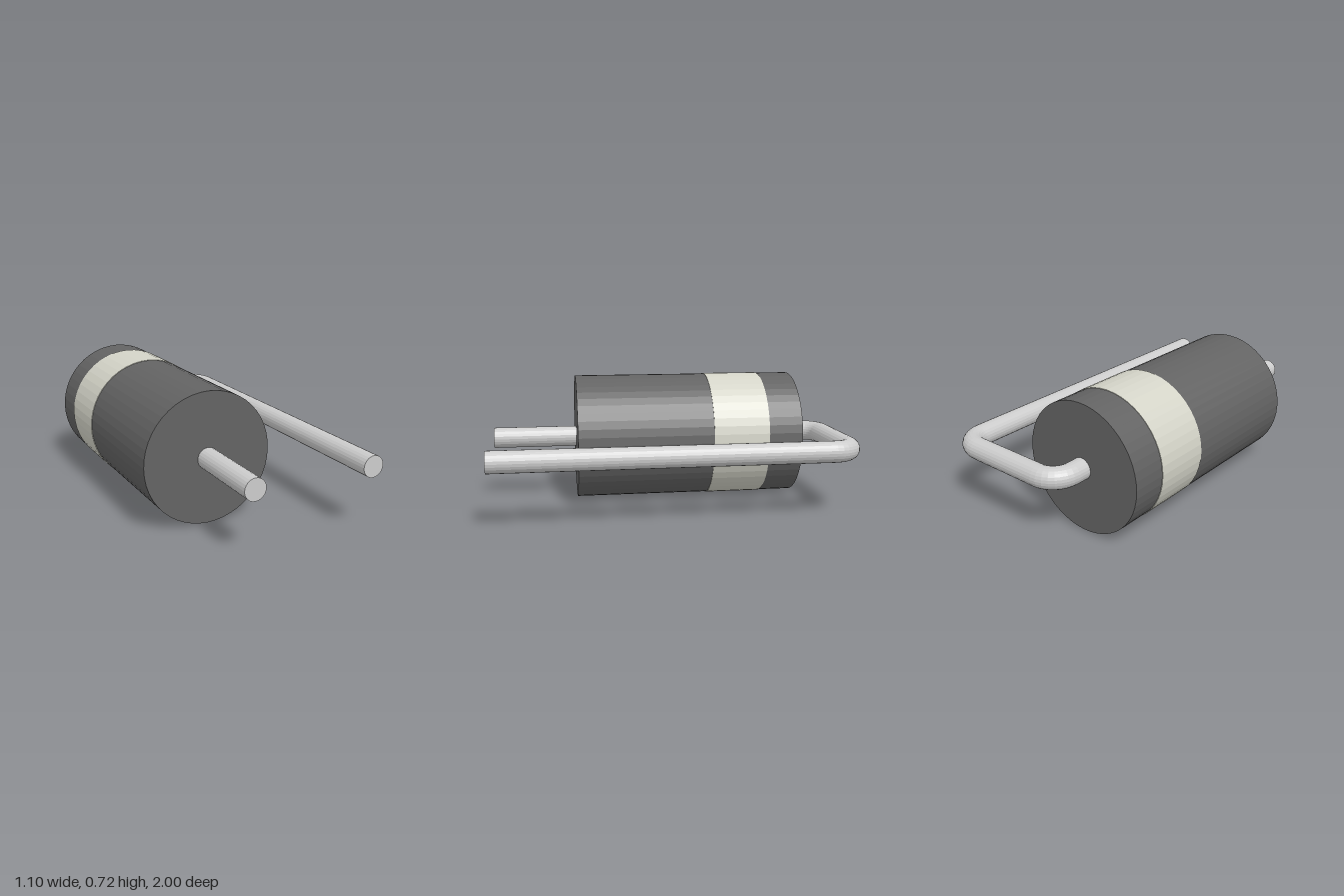
import * as THREE from 'three';

const X = -0.193, Y = 0.36;          // body axis
const X2 = 0.487;                    // returning wire axis
const WIRE = 0.059, BEND = 0.116;    // wire radius and bend radius
const BACK = -1 + WIRE;              // z of the cross run
const BEND_Z = BACK + BEND;

function material(color) {
  return new THREE.MeshStandardMaterial({ color, flatShading: true });
}

export function createModel() {
  const model = new THREE.Group();
  const dark = material(0x636363), pale = material(0xd4d4c8), metal = material(0xcccccc);

  const add = (parent, name, geometry, mat, x, z) => {
    const mesh = new THREE.Mesh(geometry, mat);
    mesh.name = name;
    mesh.position.set(x, Y, z);
    parent.add(mesh);
  };
  // Cylinder lying along z between two depths
  const rod = (parent, name, radius, x, z0, z1, sides, mat) =>
    add(parent, name, new THREE.CylinderGeometry(radius, radius, z1 - z0, sides).rotateX(Math.PI / 2),
      mat, x, (z0 + z1) / 2);

  // Body with its marking band
  rod(model, 'body', 0.357, X, -0.755, 0.525, 48, dark);
  rod(model, 'markingBand', 0.36, X, -0.56, -0.24, 48, pale);

  // Wire: through the body, around the back and forward again
  const wire = new THREE.Group();
  wire.name = 'wireLead';
  model.add(wire);
  rod(wire, 'axialWire', WIRE, X, BEND_Z, 1, 24, metal);
  rod(wire, 'returnWire', WIRE, X2, BEND_Z, 1, 24, metal);
  const run = X2 - X - 2 * BEND;
  add(wire, 'crossWire', new THREE.CylinderGeometry(WIRE, WIRE, run, 24, 1, true).rotateZ(Math.PI / 2),
    metal, (X + X2) / 2, BACK);

  // Rounded corners
  const corner = (name, x, turn) =>
    add(wire, name, new THREE.TorusGeometry(BEND, WIRE, 24, 8, Math.PI / 2).rotateZ(turn).rotateX(-Math.PI / 2),
      metal, x, BEND_Z);
  corner('leftBend', X2 - BEND, 0);
  corner('rightBend', X + BEND, Math.PI / 2);

  return model;
}
